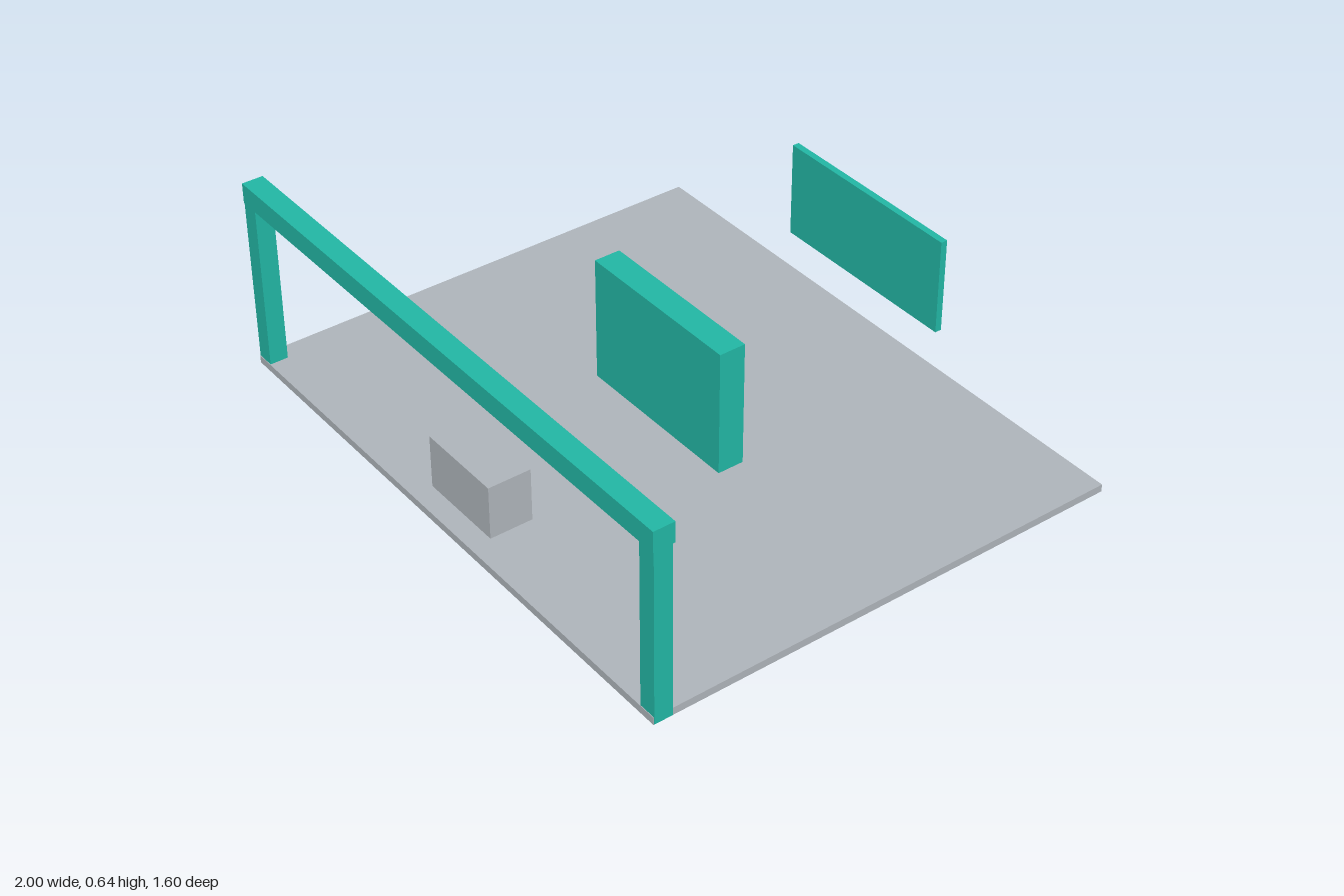
import * as THREE from 'three';

export function createModel() {
  const group = new THREE.Group();
  const material = (name, color) => {
    const m = new THREE.MeshStandardMaterial({ color });
    m.name = name;
    return m;
  };
  const teal = material('teal', 0x22b5a3);
  const grey = material('light grey', 0xadb3b9);
  const slate = material('slate blue', 0x425c6e);

  // Box given by its extents along each axis
  const box = (name, mat, [x0, x1], [y0, y1], [z0, z1]) => {
    const mesh = new THREE.Mesh(new THREE.BoxGeometry(x1 - x0, y1 - y0, z1 - z0), mat);
    mesh.position.set((x0 + x1) / 2, (y0 + y1) / 2, (z0 + z1) / 2);
    mesh.name = name;
    group.add(mesh);
  };

  // Floor slab
  box('floor', grey, [-0.999, 0.999], [0, 0.025], [-0.8, 0.8]);

  // Entrance gate: two posts under a slightly deeper beam
  box('leftPost', teal, [0.94, 1], [0.001, 0.575], [0.738, 0.798]);
  box('rightPost', teal, [-1, -0.94], [0.001, 0.575], [0.738, 0.798]);
  box('gateBeam', teal, [-1, 1], [0.575, 0.642], [0.731, 0.8]);

  // Counter block and central partition
  box('counter', grey, [-0.148, 0.148], [0.02, 0.203], [0.588, 0.73]);
  box('partition', teal, [-0.298, 0.298], [0.002, 0.442], [-0.046, 0.042]);

  // Floating display: backing board with a dark screen on its rear face
  box('displayBoard', teal, [-0.34, 0.34], [0.213, 0.53], [-0.758, -0.736]);
  box('displayScreen', slate, [-0.328, 0.328], [0.228, 0.514], [-0.767, -0.758]);

  return group;
}
